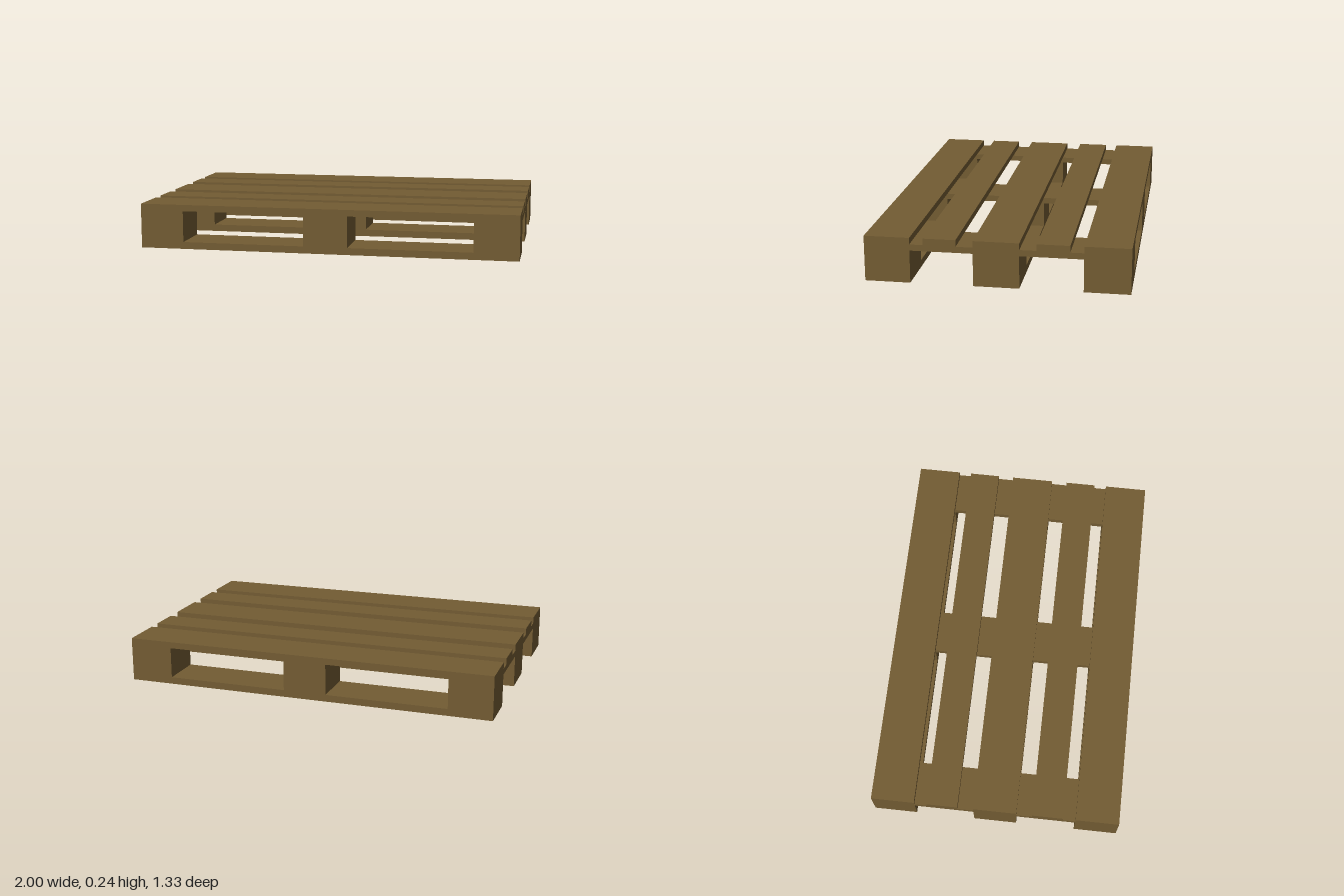
import * as THREE from 'three';

export function createModel() {
  const pallet = new THREE.Group();
  pallet.name = 'pallet';
  const wood = new THREE.MeshStandardMaterial({ color: 0x735c33, flatShading: true });

  // Box given by its centre in x and z, its bottom and top heights, and its footprint
  function plank(name, x, z, y0, y1, width, depth) {
    const mesh = new THREE.Mesh(new THREE.BoxGeometry(width, y1 - y0, depth), wood);
    mesh.name = name;
    mesh.position.set(x, (y0 + y1) / 2, z);
    pallet.add(mesh);
  }

  const LENGTH = 2, DEPTH = 1.334, WIDE = 0.232, NARROW = 0.166;
  const Y = { bottom: 0.037, block: 0.17, stringer: 0.202, top: 0.236 };
  const columns = [-1, 0, 1].map(i => i * (LENGTH - WIDE) / 2);
  const rows = [-1, 0, 1].map(i => i * (DEPTH - WIDE) / 2);

  // Wide boards below and on top, with three blocks in each row
  for (const z of rows) {
    plank('bottomBoard', 0, z, 0, Y.bottom, LENGTH, WIDE);
    plank('wideTopBoard', 0, z, Y.stringer, Y.top, LENGTH, WIDE);
    for (const x of columns) plank('block', x, z, Y.bottom, Y.block, WIDE, WIDE);
  }

  // Cross boards joining the rows of blocks
  for (const x of columns) plank('crossBoard', x, 0, Y.block, Y.stringer, WIDE, DEPTH);

  // Narrow top boards between the wide ones
  for (const side of [-1, 1]) {
    plank('narrowTopBoard', 0, side * 0.284, Y.stringer, Y.top, LENGTH, NARROW);
  }

  return pallet;
}
